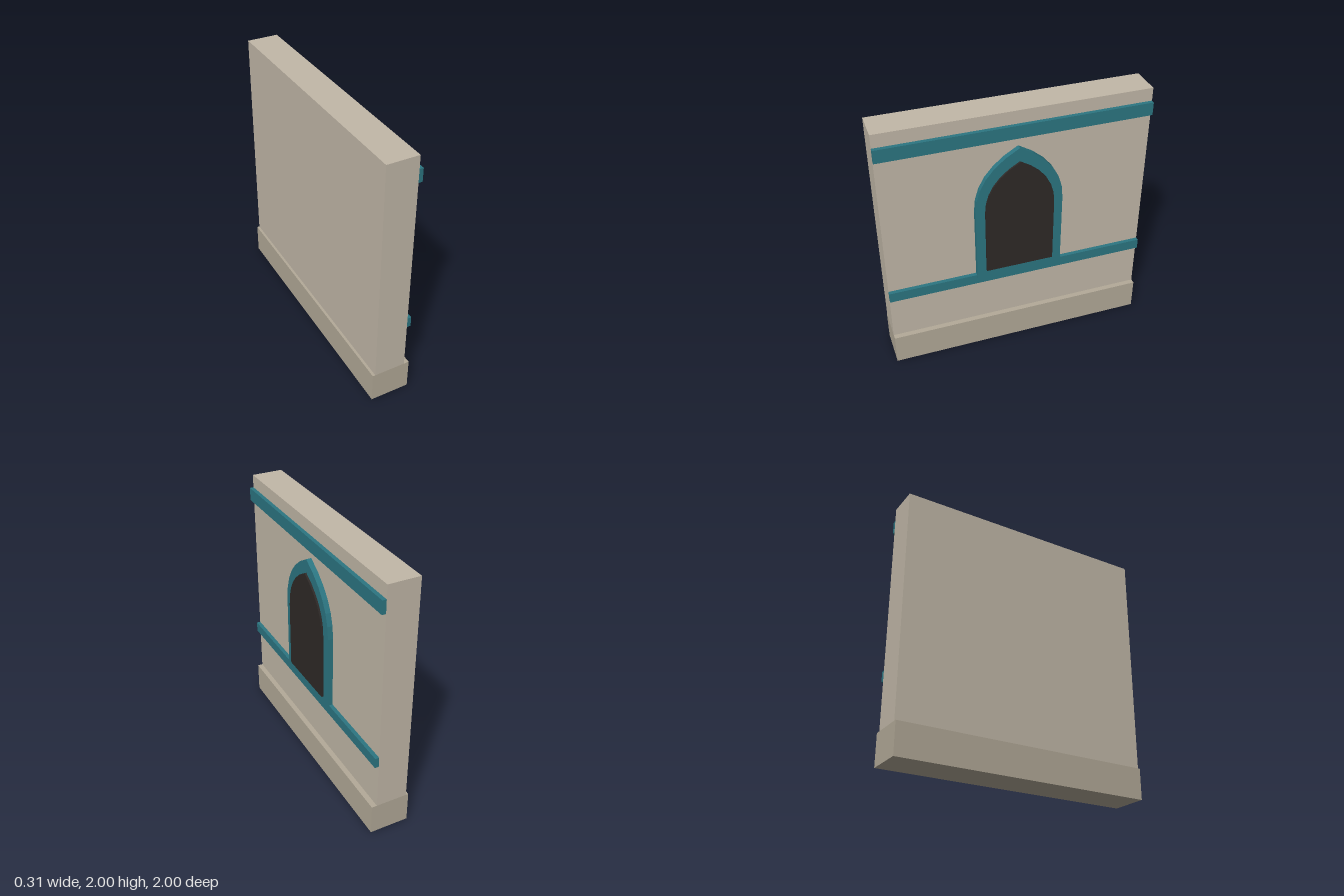
import * as THREE from 'three';

const material = (color) => new THREE.MeshStandardMaterial({ color, flatShading: true });

// Box given by its x and y limits, running the full length of the wall
function slab(name, x0, x1, y0, y1, mat) {
  const mesh = new THREE.Mesh(new THREE.BoxGeometry(x1 - x0, y1 - y0, 2), mat);
  mesh.position.set((x0 + x1) / 2, (y0 + y1) / 2, 0);
  mesh.name = name;
  return mesh;
}

// Pointed-arch panel facing +x
function archPanel(name, half, bottom, spring, shoulder, apex, x0, x1, mat) {
  const shape = new THREE.Shape();
  shape.moveTo(-half, bottom);
  shape.lineTo(half, bottom);
  shape.lineTo(half, spring);
  shape.quadraticCurveTo(half, shoulder, 0, apex);
  shape.quadraticCurveTo(-half, shoulder, -half, spring);
  shape.closePath();
  const geometry = new THREE.ExtrudeGeometry(shape, {
    depth: x1 - x0, bevelEnabled: false, curveSegments: 6,
  });
  geometry.rotateY(Math.PI / 2);
  const mesh = new THREE.Mesh(geometry, mat);
  mesh.position.x = x0;
  mesh.name = name;
  return mesh;
}

export function createModel() {
  const stone = material(0xc2b8a8);
  const baseStone = material(0xb3aa98);
  const teal = material(0x2c7682);
  const dark = material(0x2e2927);

  const group = new THREE.Group();
  group.name = 'wallPanel';
  group.add(
    // Masonry
    slab('plinth', -0.16, 0.14, 0, 0.24, baseStone),
    slab('wall', -0.14, 0.1, 0.24, 2, stone),
    // Horizontal trim
    slab('lowerBand', 0.1, 0.13, 0.6, 0.68, teal),
    slab('upperBand', 0.1, 0.13, 1.8, 1.9, teal),
    // Window
    archPanel('windowSurround', 0.33, 0.66, 1.25, 1.56, 1.73, 0.1, 0.14, teal),
    archPanel('windowPane', 0.26, 0.72, 1.24, 1.49, 1.625, 0.135, 0.155, dark),
  );
  return group;
}
